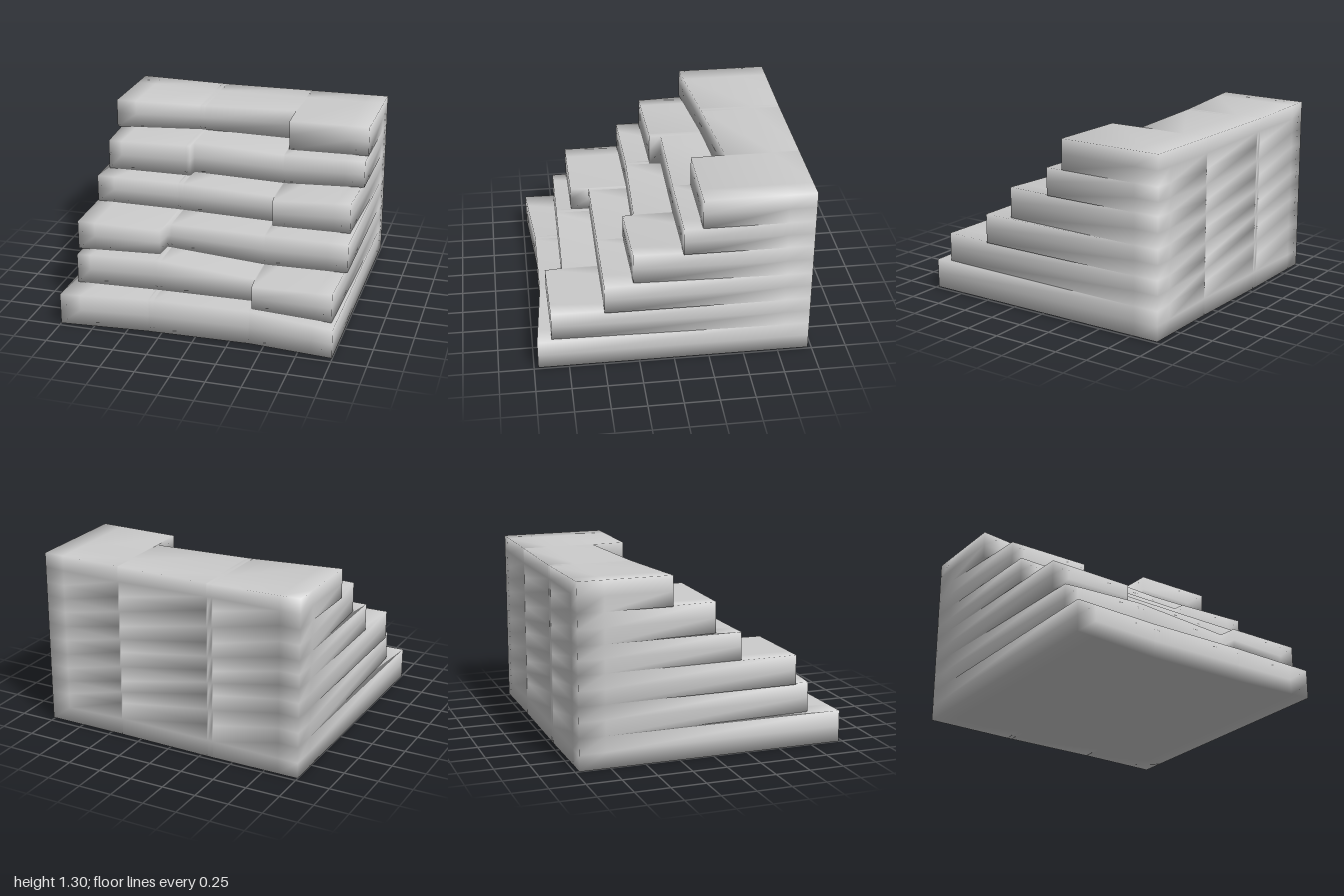
import * as THREE from 'three';
import { mergeVertices } from 'three/addons/utils/BufferGeometryUtils.js';

const BACK = -0.97, SHOULDER = -0.78;
const XS = [-1, -0.85, -0.35, -0.34, -0.31, -0.3, 0.39, 0.4, 0.85, 1];

// Height of each seam between layers, at x = -1, -0.33, 0.4 and 1
const SEAMS = [
  [0, 0, 0.01, 0.01],
  [0.23, 0.25, 0.26, 0.225],
  [0.45, 0.48, 0.43, 0.44],
  [0.665, 0.66, 0.655, 0.655],
  [0.865, 0.865, 0.85, 0.88],
  [1.085, 1.1, 1.07, 1.08],
  [1.3, 1.29, 1.295, 1.3],
];

// Front line of each layer as [x, z] points, and how far its front corners are cut in
const LAYERS = [
  { front: [[-1, 0.97], [-0.35, 0.92], [0.4, 0.92], [1, 0.97]], cut: [0, 0] },
  { front: [[-1, 0.74], [0.39, 0.75], [0.4, 0.875], [1, 0.865]], cut: [0.05, 0.03] },
  { front: [[-1, 0.63], [-0.35, 0.63], [-0.34, 0.49], [1, 0.49]], cut: [0.02, 0] },
  { front: [[-1, 0.21], [-0.35, 0.2], [0.39, 0.22], [0.4, 0.3], [1, 0.285]], cut: [0.02, 0.03] },
  { front: [[-1, 0.03], [-0.31, 0.02], [-0.3, -0.065], [1, -0.06]], cut: [0.05, 0] },
  { front: [[-1, -0.3], [-0.3, -0.375], [0.39, -0.435], [0.4, -0.19], [1, -0.19]], cut: [0, 0] },
];

function lerpPoints(points, x) {
  for (let i = 1; i < points.length; i++) {
    const [x0, v0] = points[i - 1], [x1, v1] = points[i];
    if (x <= x1) return v0 + (v1 - v0) * (x - x0) / (x1 - x0);
  }
  return points[points.length - 1][1];
}

const seamHeight = (i, x) =>
  lerpPoints([-1, -0.33, 0.4, 1].map((sx, k) => [sx, SEAMS[i][k]]), x);

// One closed layer: cross-sections along x, joined and capped at both ends
function addLayer(index, positions, indices) {
  const { front, cut } = LAYERS[index];
  const start = positions.length / 3;
  const RING = 8, STRIDE = 9;

  XS.forEach((x, s) => {
    const z = lerpPoints(front, x);
    const b = seamHeight(index, x), t = seamHeight(index + 1, x), m = (b + t) / 2;
    const fx = s === 0 ? x + cut[0] : s === XS.length - 1 ? x - cut[1] : x;
    positions.push(
      fx, b, z, fx, m, z, fx, t, z,              // front
      x, t, SHOULDER, x, t, BACK,                // top
      x, m, BACK, x, b, BACK,                    // back
      x, b, SHOULDER, x, m, SHOULDER,            // underside, middle of the cap
    );
  });

  const quad = (a, b, c, d) => indices.push(a, b, c, a, c, d);
  for (let s = 0; s < XS.length - 1; s++) {
    const p = start + s * STRIDE, q = p + STRIDE;
    for (let j = 0; j < RING; j++) {
      const k = (j + 1) % RING;
      quad(p + j, q + j, q + k, p + k);
    }
  }
  const end = start + (XS.length - 1) * STRIDE;
  for (const [a, b, c, d] of [[0, 7, 8, 1], [1, 8, 3, 2], [7, 6, 5, 8], [8, 5, 4, 3]]) {
    quad(end + a, end + b, end + c, end + d);
    quad(start + d, start + c, start + b, start + a);
  }
}

export function createModel() {
  const group = new THREE.Group();
  group.name = 'steppedRock';

  // All layers share one smooth skin at the sides and back
  const positions = [], indices = [];
  LAYERS.forEach((_, i) => addLayer(i, positions, indices));
  let geometry = new THREE.BufferGeometry();
  geometry.setAttribute('position', new THREE.Float32BufferAttribute(positions, 3));
  geometry.setIndex(indices);
  geometry = mergeVertices(geometry, 1e-4);
  geometry.computeVertexNormals();

  const cliff = new THREE.Mesh(geometry, new THREE.MeshStandardMaterial({ color: 0xcccccc }));
  cliff.name = 'rockLayers';
  group.add(cliff);
  return group;
}
